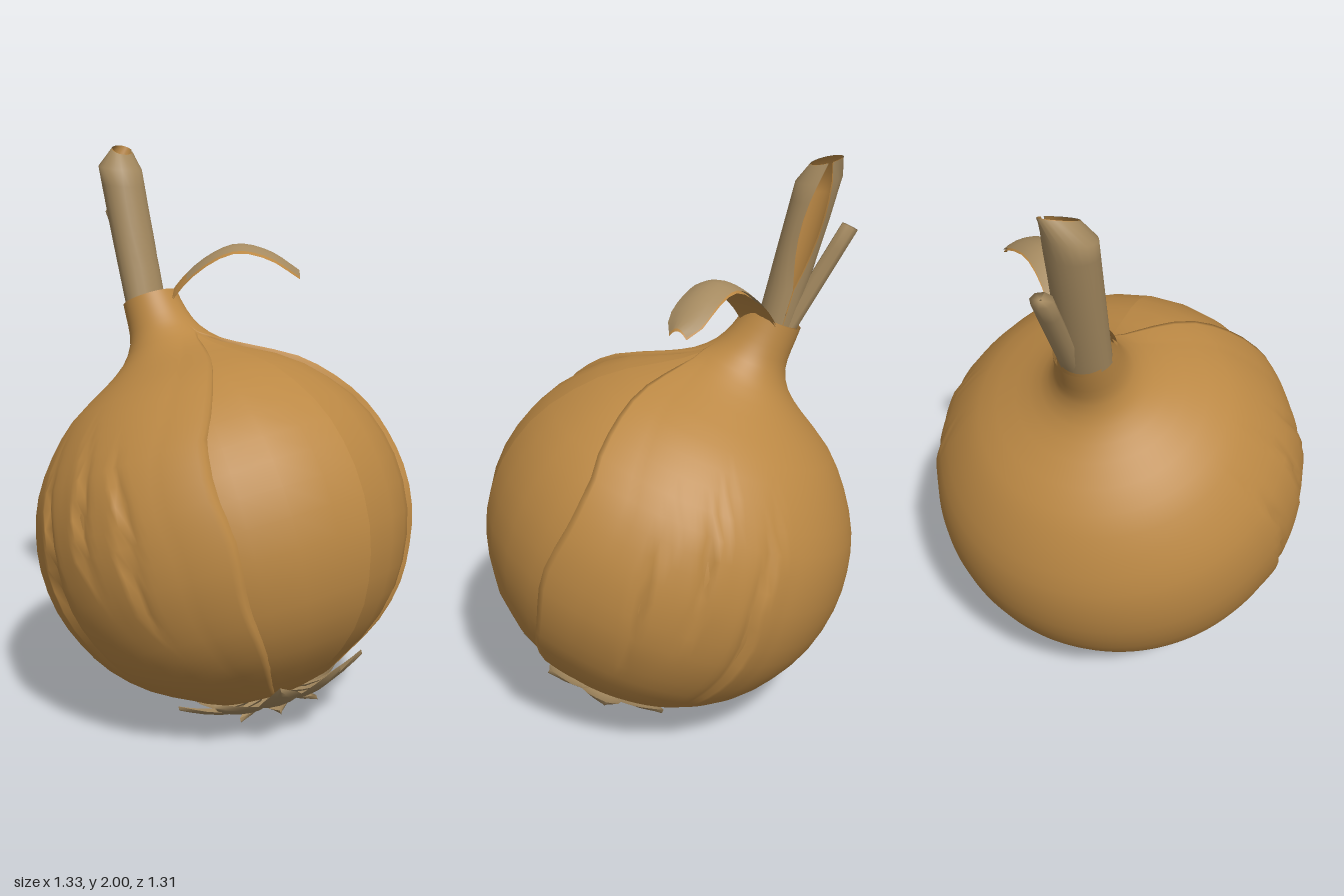
import * as THREE from 'three';

const skinMat = new THREE.MeshStandardMaterial({ color: 0xbb8844, side: THREE.DoubleSide });
skinMat.name = 'papery skin';
const dryMat = new THREE.MeshStandardMaterial({ color: 0xa58a60, side: THREE.DoubleSide });
dryMat.name = 'dry stalk';

const { lerp, clamp, smoothstep } = THREE.MathUtils;
const V = (x, y, z) => new THREE.Vector3(x, y, z);

// Grid surface from f(u, v) -> Vector3
function sheet(name, mat, cols, rows, f) {
  const pos = [], idx = [], w = cols + 1;
  for (let j = 0; j <= rows; j++)
    for (let i = 0; i <= cols; i++) pos.push(...f(i / cols, j / rows).toArray());
  for (let j = 0; j < rows; j++)
    for (let i = 0; i < cols; i++) {
      const a = j * w + i;
      idx.push(a, a + 1, a + w, a + 1, a + w + 1, a + w);
    }
  const g = new THREE.BufferGeometry();
  g.setAttribute('position', new THREE.Float32BufferAttribute(pos, 3));
  g.setIndex(idx);
  g.computeVertexNormals();
  const m = new THREE.Mesh(g, mat);
  m.name = name;
  return m;
}

// Bulb outline as radius, height along the bulb's own axis
const profile = [
  [0.01, -0.645], [0.2, -0.62], [0.29, -0.575], [0.42, -0.5], [0.53, -0.395], [0.6, -0.28],
  [0.648, -0.15], [0.663, 0], [0.645, 0.13], [0.602, 0.25], [0.52, 0.37], [0.42, 0.47],
  [0.28, 0.555], [0.185, 0.62], [0.13, 0.69], [0.11, 0.76], [0.1, 0.84],
];
const outline = new THREE.CatmullRomCurve3(profile.map(([r, h]) => V(r, h, 0)));

function onBulb(phi, v, offset) {
  const p = outline.getPoint(v);
  const r = Math.max(0.005, p.x + offset);
  const bend = -0.035 * smoothstep(p.y, 0.55, 0.85);
  return V(r * Math.sin(phi), p.y, r * Math.cos(phi) + bend);
}

// Torn creases on both flanks: angle, lowest and highest height
const tears = [[1.28, -0.3, 0.3], [1.52, -0.1, 0.4], [1.86, -0.45, 0.4]];
function tearOffset(phi, h) {
  const a = phi > Math.PI ? 2 * Math.PI - phi : phi;
  let o = 0;
  for (const [angle, lo, hi] of tears) {
    const t = (h - lo) / (hi - lo);
    if (t <= 0 || t >= 1) continue;
    const d = a - angle - 0.03 * Math.sin(t * 7);
    const amp = Math.sin(Math.PI * t);
    if (d > 0 && d < 0.14) o += 0.009 * amp * (1 - d / 0.14);
    else if (d <= 0 && d > -0.07) o -= 0.02 * amp * (1 + d / 0.07);
  }
  return o;
}

function buildBulb() {
  const bulb = new THREE.Group();
  bulb.name = 'bulb';
  bulb.position.set(0, 0.7, 0);
  bulb.rotation.x = -0.4;

  bulb.add(sheet('innerLayer', skinMat, 28, 24, (u, v) => onBulb(u * 2 * Math.PI, v, -0.01)));

  // Outer skin, open at the front and closing below the neck
  bulb.add(sheet('outerSkin', skinMat, 150, 32, (u, v) => {
    const h = outline.getPoint(v).y;
    const edge = 0.74 * Math.sqrt(clamp((0.64 - h) / 0.4, 0, 1)) + 0.012 * Math.sin(h * 17) * (h < 0.5 ? 1 : 0);
    const phi = lerp(edge, 2 * Math.PI - edge, u);
    const fromEdge = Math.min(u, 1 - u);
    const rim = smoothstep(0.66 - h, 0, 0.1) * smoothstep(v, 0, 0.15);
    const lift = fromEdge === 0 ? -0.025 : 0.014 * (1 - clamp(fromEdge / 0.06, 0, 1));
    return onBulb(phi, v, lift * rim + tearOffset(phi, h));
  }));

  // Withered root leaves around the base
  const roots = new THREE.Group();
  roots.name = 'roots';
  const ring = (count, pts, width, phase) => {
    const path = new THREE.CatmullRomCurve3(pts.map(([r, h]) => V(0, h, r)));
    for (let i = 0; i < count; i++) {
      const leaf = sheet('rootLeaf', dryMat, 4, 6, (u, v) => {
        const s = u * 2 - 1;
        const half = width * (0.35 + 0.65 * Math.sin(Math.PI * Math.min(1, v * 0.85 + 0.1))) * (1 - v ** 4);
        const p = path.getPoint(v);
        p.x = s * half;
        p.y += 0.015 * s * s;
        return p;
      });
      leaf.rotation.y = (i / count) * 2 * Math.PI + phase;
      roots.add(leaf);
    }
  };
  ring(9, [[0.05, -0.655], [0.16, -0.665], [0.26, -0.635], [0.34, -0.595]], 0.08, 0);
  ring(6, [[0.02, -0.65], [0.08, -0.67], [0.12, -0.685], [0.16, -0.695]], 0.045, 0.3);
  bulb.add(roots);
  return bulb;
}

// Hollow dry stalk with a slit down its left side and a folded top
function stalkPoint(scale) {
  return (u, v) => {
    const gap = 0.03 + 0.5 * Math.sin(Math.PI * clamp((v - 0.3) / 0.75, 0, 1));
    const phi = Math.PI / 2 + lerp(gap, 2 * Math.PI - gap, u);
    const fold = v === 1 ? 0.6 : 1;
    const back = 0.5 - 0.5 * Math.cos(phi);
    return V(
      -0.01 + 0.08 * scale * fold * Math.sin(phi) + (v === 1 ? 0.05 * back : 0),
      1.4 + 0.565 * v + 0.035 * back * v ** 4,
      -0.36 - 0.152 * v + (0.062 + 0.016 * v) * scale * fold * Math.cos(phi));
  };
}

function buildStalk() {
  const stalk = new THREE.Group();
  stalk.name = 'stalk';
  stalk.add(sheet('stalkOutside', dryMat, 18, 10, stalkPoint(1)));
  stalk.add(sheet('stalkInside', skinMat, 18, 10, stalkPoint(0.92)));

  // Broken shard behind the stalk, with a blunt end
  stalk.add(sheet('stalkShard', dryMat, 8, 6, (u, v) => {
    const a = u * 2 * Math.PI, k = v === 1 ? 0.1 : 1;
    return V(
      lerp(0.03, 0.045, v) + 0.036 * k * Math.sin(a),
      1.42 + 0.36 * Math.min(v * 1.2, 1) + 0.012 * k * Math.cos(a) - 0.01,
      lerp(-0.39, -0.595, Math.min(v * 1.2, 1)) + 0.026 * k * Math.cos(a));
  }));
  return stalk;
}

// Curled strip of leaf drooping forward and to the left
function buildCurl() {
  const curl = new THREE.Group();
  curl.name = 'curledLeaf';
  const path = new THREE.CatmullRomCurve3([
    V(0.02, 1.4, -0.33), V(0.06, 1.51, -0.28), V(0.12, 1.605, -0.2),
    V(0.2, 1.655, -0.12), V(0.29, 1.63, -0.04), V(0.37, 1.56, 0.035),
  ]);
  const strip = (name, mat, drop, from, to) => sheet(name, mat, 6, 12, (u, t) => {
    const v = lerp(from, to, t), s = u * 2 - 1;
    const half = 0.07 * (v > 0.85 ? Math.sqrt(1 - ((v - 0.85) / 0.17) ** 2) : 1);
    const p = path.getPoint(v);
    p.x += 0.72 * s * half;
    p.z -= 0.69 * s * half;
    p.y -= drop + 0.022 * s * s;
    return p;
  });
  curl.add(
    strip('curlBase', skinMat, 0, 0, 0.28),
    strip('curlTop', dryMat, 0, 0.28, 1),
    strip('curlUnderside', skinMat, 0.009, 0, 1));
  return curl;
}

export function createModel() {
  const model = new THREE.Group();
  model.name = 'onion';
  model.add(buildBulb(), buildStalk(), buildCurl());
  return model;
}
